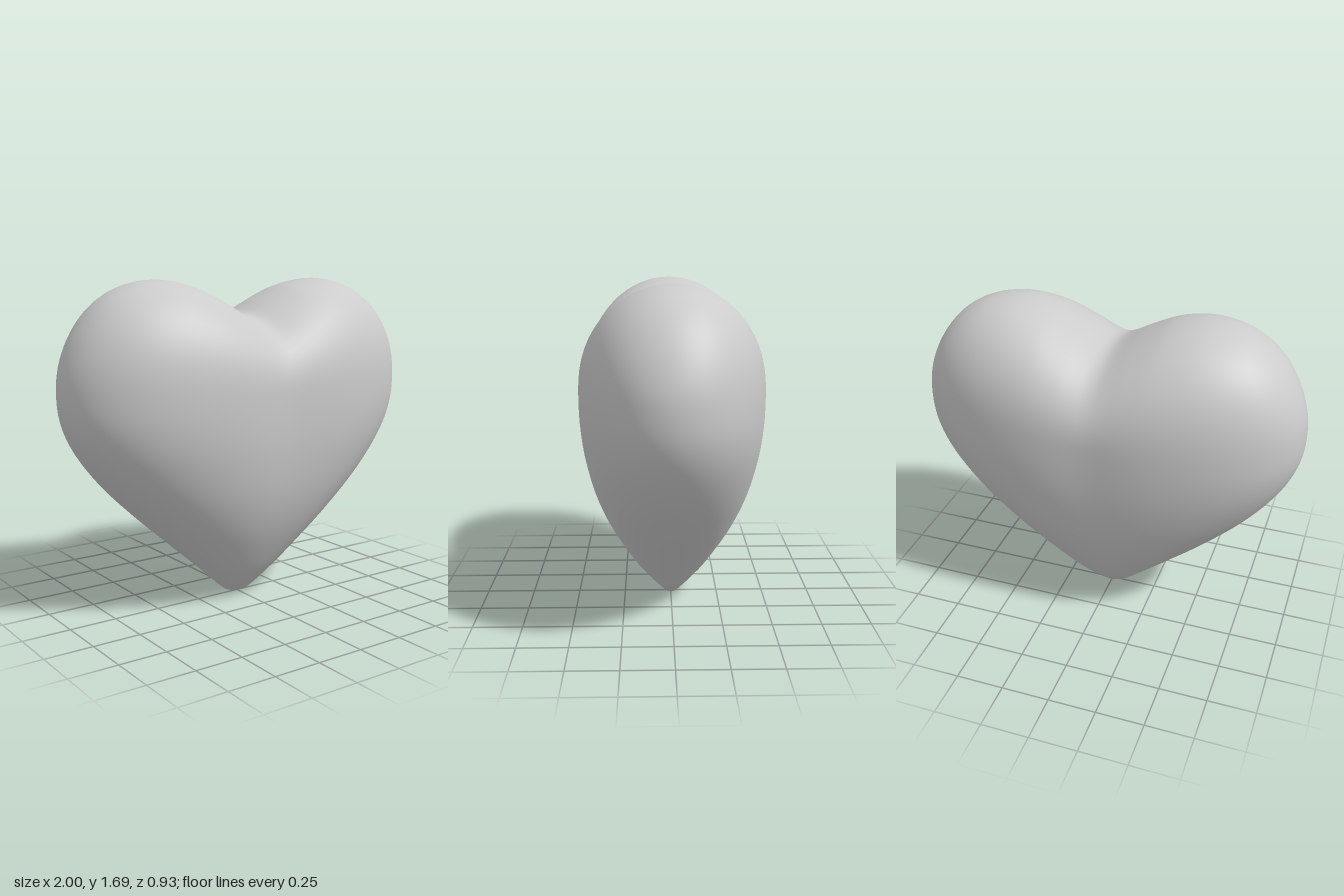
import * as THREE from 'three';
import { mergeVertices } from 'three/addons/utils/BufferGeometryUtils.js';

const WIDEST = 1.14; // height of the widest point
const STEPS = 24;

const spline = (pts) =>
  new THREE.SplineCurve(pts.map(([x, y]) => new THREE.Vector2(x, y))).getPoints((pts.length - 1) * STEPS);

// Half outline seen from the front: notch -> widest point -> tip
const OUTLINE = [
  [0, 1.515], [0.03, 1.519], [0.08, 1.542], [0.18, 1.598], [0.32, 1.661], [0.49, 1.69], [0.66, 1.662],
  [0.8, 1.582], [0.91, 1.45], [0.98, 1.29], [1, WIDEST], [0.98, 0.99], [0.91, 0.84], [0.78, 0.67],
  [0.6, 0.49], [0.4, 0.31], [0.22, 0.15], [0.11, 0.046], [0.05, 0.008], [0, 0],
];
const outline = spline(OUTLINE);
const split = 10 * STEPS;
const upper = outline.slice(0, split + 1);
const lower = outline.slice(split).reverse();

// Half depth from the tip up to the widest point (depth, height)
const depth = spline([
  [0, 0], [0.025, 0.008], [0.06, 0.04], [0.12, 0.103], [0.2, 0.2], [0.32, 0.4],
  [0.4, 0.6], [0.45, 0.82], [0.47, 1], [0.474, WIDEST],
]);

// Linear lookup in a sampled curve that rises along the key axis
function lookup(pts, key, value, k) {
  for (let i = 1; i < pts.length; i++) {
    const a = pts[i - 1], b = pts[i];
    if (k <= b[key]) {
      const t = THREE.MathUtils.clamp((k - a[key]) / Math.max(b[key] - a[key], 1e-9), 0, 1);
      return a[value] + (b[value] - a[value]) * t;
    }
  }
  return pts[pts.length - 1][value];
}

// Half thickness of the heart at a point of its front outline
function thickness(x, y, top) {
  const round = (u, power) => Math.sqrt(Math.max(0, 1 - Math.pow(Math.min(u, 1), power)));
  const dip = 1 - 0.03 * Math.exp(-((x / 0.18) ** 2)) * THREE.MathUtils.smoothstep(y, 0.4, WIDEST);
  if (y >= WIDEST) {
    return 0.474 * dip * round(x, 2.8) * round((y - WIDEST) / Math.max(top - WIDEST, 1e-6), 2.4);
  }
  const width = Math.max(lookup(lower, 'y', 'x', y), 1e-6);
  const power = 2 + 0.8 * THREE.MathUtils.smoothstep(y, 0.1, WIDEST);
  return lookup(depth, 'y', 'x', y) * dip * round(x / width, power);
}

// Closed loops in planes of constant x, lofted from side to side
function heartGeometry(slices = 160, around = 80) {
  const positions = [], index = [];
  for (let i = 0; i <= slices; i++) {
    const x = Math.sin((i / slices - 0.5) * Math.PI);
    const ax = Math.abs(x);
    const pole = i === 0 || i === slices;
    const top = pole ? WIDEST : lookup(upper, 'x', 'y', ax);
    const bottom = pole ? WIDEST : lookup(lower, 'x', 'y', ax);
    for (let j = 0; j < around; j++) {
      const phi = (j / around) * Math.PI * 2;
      const y = (top + bottom) / 2 + ((top - bottom) / 2) * Math.cos(phi);
      const edge = pole || j === 0 || j === around / 2;
      const z = edge ? 0 : thickness(ax, y, top) * Math.sign(Math.sin(phi));
      positions.push(x, y, z);
      if (i < slices) {
        const a = i * around + j, c = i * around + ((j + 1) % around);
        if (i > 0) index.push(a, c, a + around);
        if (i < slices - 1) index.push(c, c + around, a + around);
        else index.push(c, c + around, a + around);
      }
    }
  }
  const geometry = new THREE.BufferGeometry();
  geometry.setAttribute('position', new THREE.Float32BufferAttribute(positions, 3));
  geometry.setIndex(index);
  const merged = mergeVertices(geometry, 1e-5);
  merged.computeVertexNormals();
  return merged;
}

export function createModel() {
  const group = new THREE.Group();
  group.name = 'heart';
  const body = new THREE.Mesh(heartGeometry(), new THREE.MeshStandardMaterial({ color: 0xcccccc }));
  body.name = 'heartBody';
  group.add(body);
  return group;
}
